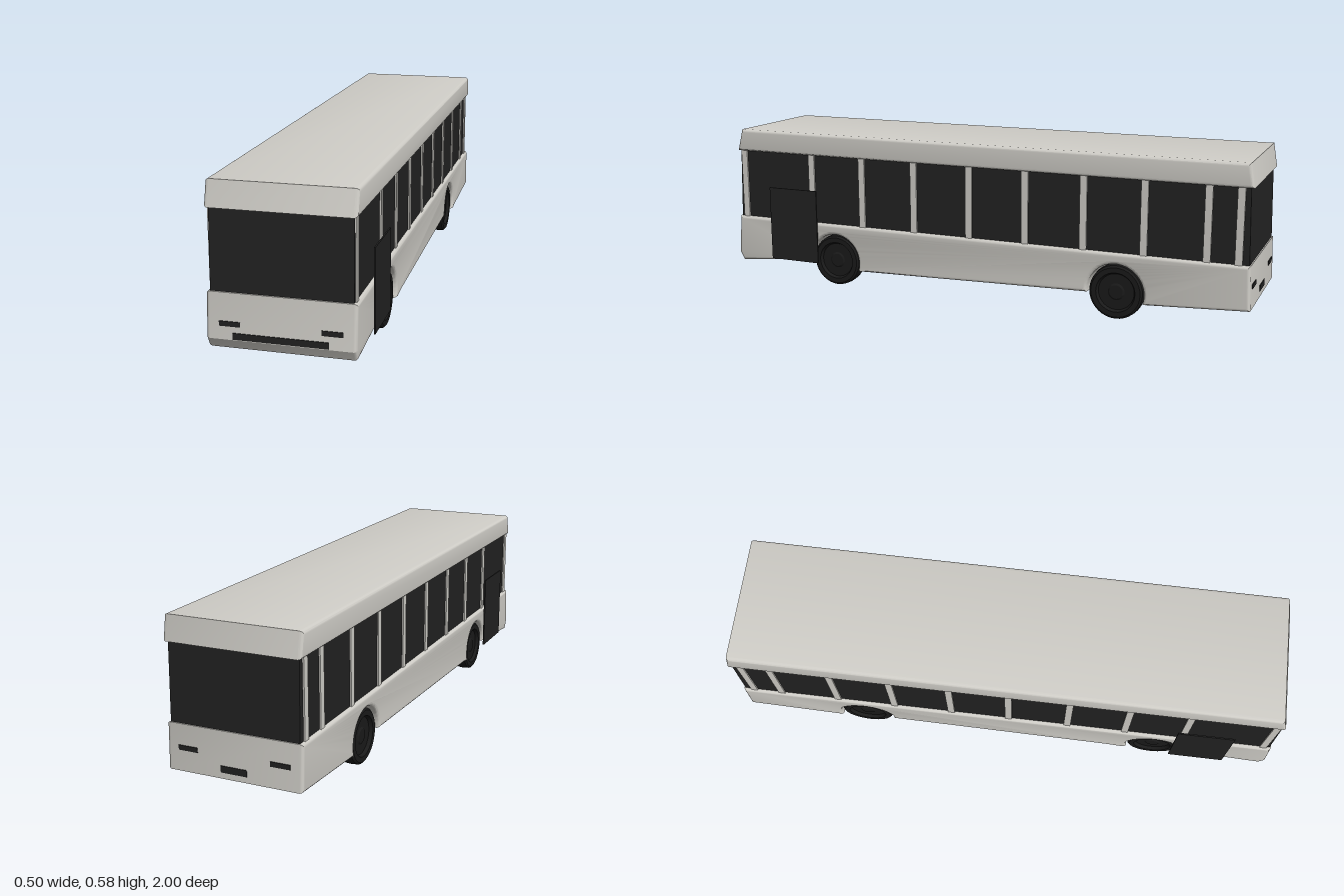
import * as THREE from 'three';
import { toCreasedNormals } from 'three/addons/utils/BufferGeometryUtils.js';

export function createModel() {
  const mat = (name, color) => {
    const m = new THREE.MeshStandardMaterial({ color });
    m.name = name;
    return m;
  };
  const paint = mat('body paint', 0xd0cec8);
  const glass = mat('dark glass', 0x222222);
  const rubber = mat('rubber', 0x1a1a1a);

  const bus = new THREE.Group();
  bus.name = 'bus';

  const add = (name, geometry, material, x = 0, y = 0, z = 0) => {
    const mesh = new THREE.Mesh(geometry, material);
    mesh.name = name;
    mesh.position.set(x, y, z);
    bus.add(mesh);
    return mesh;
  };
  const box = (name, material, w, h, d, x, y, z) =>
    add(name, new THREE.BoxGeometry(w, h, d), material, x, y, z);

  // Extrudes a side profile (z, y) across the width of the bus
  const slab = (shape, halfWidth, bevel) => {
    const depth = 2 * (halfWidth - bevel);
    const g = new THREE.ExtrudeGeometry(shape, {
      depth, curveSegments: 28, bevelEnabled: bevel > 0,
      bevelSize: bevel, bevelThickness: bevel, bevelOffset: -bevel, bevelSegments: 4,
    });
    g.translate(0, 0, -depth / 2);
    g.rotateY(-Math.PI / 2);
    return toCreasedNormals(g, 0.42);
  };
  const polygon = (points) => new THREE.Shape(points.map(([z, y]) => new THREE.Vector2(z, y)));

  // Lower body with wheel arches cut through it
  const axles = [-0.54, 0.565];
  const wheelY = 0.097;
  const lower = new THREE.Shape();
  lower.moveTo(-0.985, 0.064);
  for (const z of axles) lower.absarc(z, wheelY, 0.102, Math.PI + 0.32, -0.07, true);
  lower.lineTo(0.983, 0.06);
  lower.lineTo(1.0, 0.092);
  lower.lineTo(0.99, 0.239);
  lower.lineTo(-0.995, 0.239);
  lower.lineTo(-1.0, 0.085);
  lower.closePath();
  add('lowerBody', slab(lower, 0.235, 0.012), paint);

  // Glazed cabin and roof
  add('windows', slab(polygon([[0.985, 0.23], [0.976, 0.51], [-0.984, 0.51], [-0.991, 0.23]]), 0.223, 0), glass);
  add('roof', slab(polygon([[0.986, 0.497], [0.965, 0.58], [-0.982, 0.58], [-0.996, 0.497]]), 0.235, 0.012), paint);

  // Parts that repeat on both sides
  const pillars = [0.96, 0.66, 0.445, 0.23, 0.01, -0.205, -0.42, -0.635, -0.85, -0.955];
  const wheelProfile = [
    [0, -0.028], [0.088, -0.028], [0.095, -0.022], [0.097, 0], [0.095, 0.022],
    [0.088, 0.028], [0.07, 0.028], [0.064, 0.016], [0.03, 0.016], [0.024, 0.02], [0, 0.02],
  ].map(([r, h]) => new THREE.Vector2(r, h));
  const wheelGeometry = toCreasedNormals(new THREE.LatheGeometry(wheelProfile, 36), 0.5);

  for (const s of [-1, 1]) {
    const side = s > 0 ? 'left' : 'right';
    for (const z of pillars) {
      box(side + 'Pillar', paint, 0.012, 0.27, 0.025, s * 0.222, 0.368, z);
    }
    box(side + 'Door', glass, 0.005, 0.28, 0.205, s * 0.2475, 0.225, 0.733);
    for (const z of axles) {
      const wheel = add(side + 'Wheel', wheelGeometry, rubber, s * 0.196, wheelY, z);
      wheel.rotation.z = -s * Math.PI / 2;
    }
    // Lamps
    box(side + 'Headlamp', glass, 0.067, 0.016, 0.009, s * 0.16, 0.142, 0.994);
    box(side + 'TailLamp', glass, 0.067, 0.016, 0.008, s * 0.16, 0.162, -0.996);
  }

  // Front grille and rear plate
  box('grille', glass, 0.3, 0.021, 0.009, 0, 0.1045, 0.9965);
  box('rearPlate', glass, 0.09, 0.022, 0.008, 0, 0.116, -0.997);

  return bus;
}
